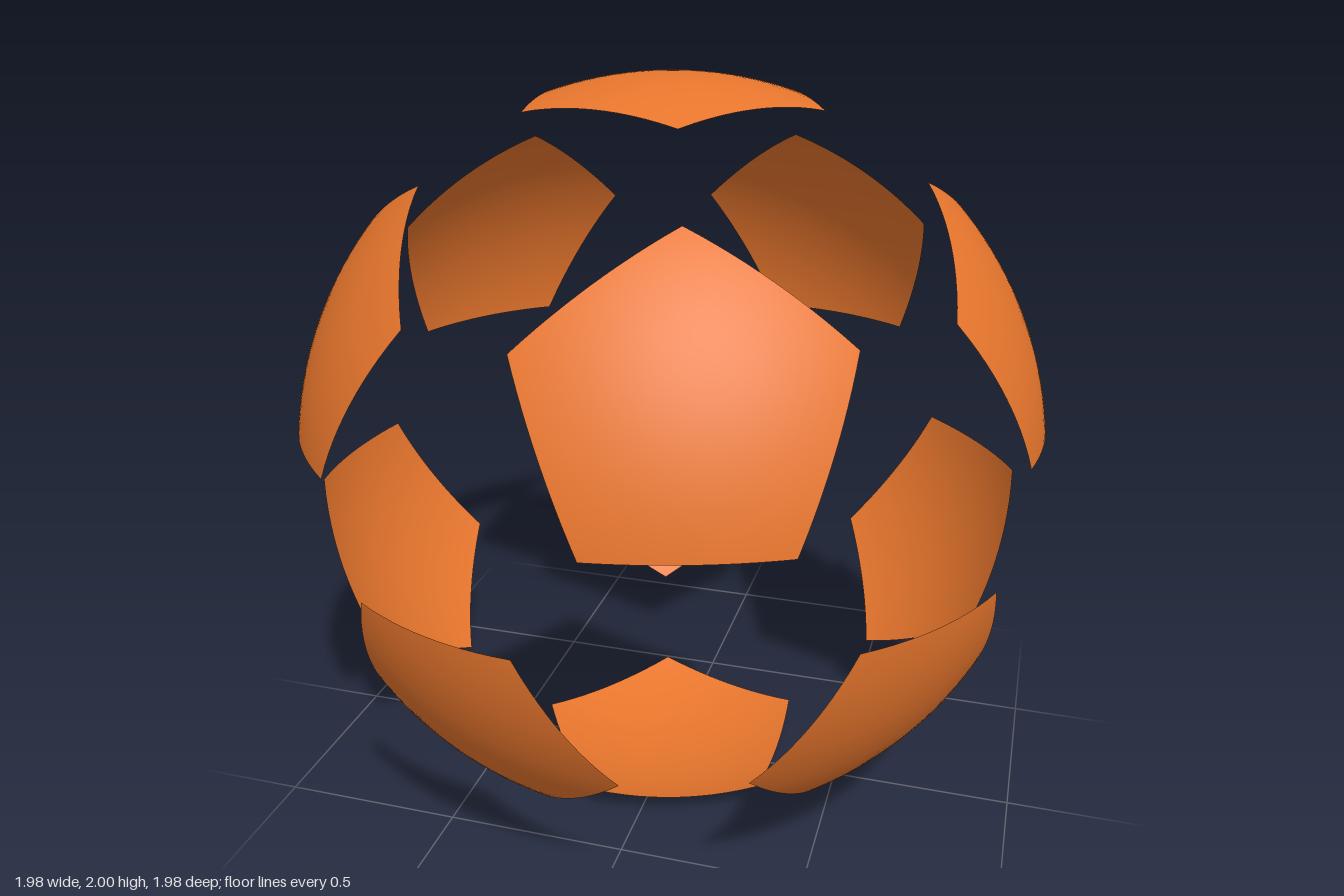
import * as THREE from 'three';

const TIP_ANGLE = THREE.MathUtils.degToRad(22.95); // panel centre to corner, seen from the ball's centre

// One pentagon puffed out onto the unit sphere, facing +z with a corner towards +x
function panelGeometry() {
  const sector = Math.PI * 2 / 5;
  const geometry = new THREE.RingGeometry(0, Math.sin(TIP_ANGLE), 60, 10);
  const position = geometry.attributes.position;
  const p = new THREE.Vector3();
  for (let i = 0; i < position.count; i++) {
    p.fromBufferAttribute(position, i);
    // pull the disc in to straight pentagon sides, then project it to the sphere
    const theta = (Math.atan2(p.y, p.x) + Math.PI * 2 + 1e-6) % sector;
    p.multiplyScalar(Math.cos(sector / 2) / Math.cos(theta - sector / 2));
    p.z = Math.cos(TIP_ANGLE);
    p.normalize();
    position.setXYZ(i, p.x, p.y, p.z);
    geometry.attributes.normal.setXYZ(i, p.x, p.y, p.z);
  }
  return geometry;
}

export function createModel() {
  const ball = new THREE.Group();
  ball.name = 'ballPanels';
  const geometry = panelGeometry();
  const material = new THREE.MeshStandardMaterial({ color: 0xe8762d, side: THREE.DoubleSide });

  // Places a panel facing `out` with one corner pointing along `tip`
  function addPanel(name, out, tip) {
    const z = out.clone().normalize();
    const x = tip.clone().addScaledVector(z, -tip.dot(z)).normalize();
    const y = new THREE.Vector3().crossVectors(z, x);
    const mesh = new THREE.Mesh(geometry, material);
    mesh.name = name;
    mesh.quaternion.setFromRotationMatrix(new THREE.Matrix4().makeBasis(x, y, z));
    mesh.position.y = 1;
    ball.add(mesh);
  }

  // Each half: a cap at the pole and a ring of five; the lower half is the upper one reversed
  for (const [half, s] of [['upper', 1], ['lower', -1]]) {
    const pole = new THREE.Vector3(0, s, 0);
    addPanel(half + 'CapPanel', pole, new THREE.Vector3(s, 0, 0));
    for (let i = 0; i < 5; i++) {
      const a = i * Math.PI * 2 / 5;
      const out = new THREE.Vector3(s * 2 * Math.cos(a), s, s * 2 * Math.sin(a));
      addPanel(half + 'RingPanel' + (i + 1), out, pole);
    }
  }
  return ball;
}
